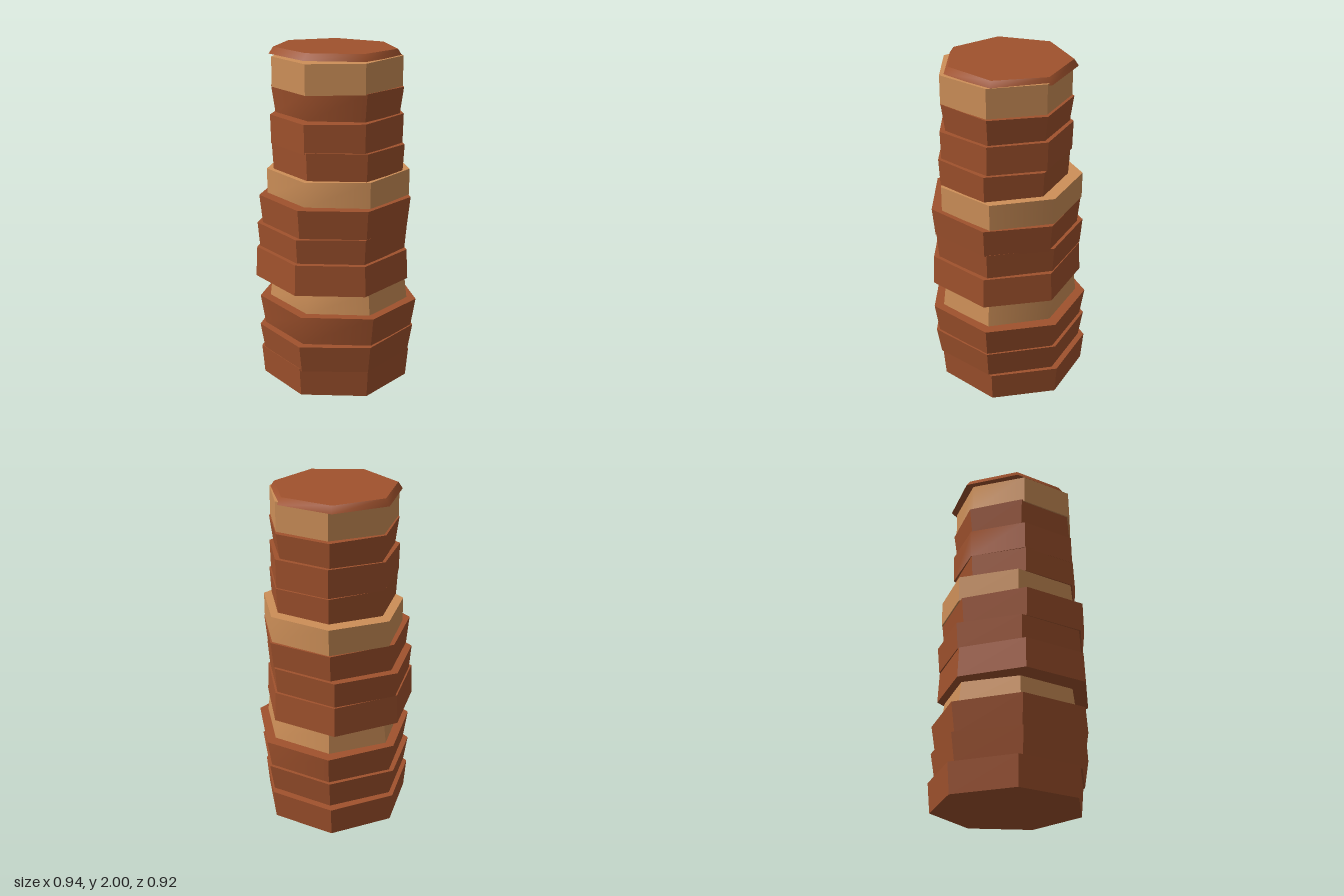
import * as THREE from 'three';
import { toCreasedNormals } from 'three/addons/utils/BufferGeometryUtils.js';

const bark = new THREE.MeshStandardMaterial({ color: 0xa0522d });
bark.name = 'brown bark';
const tan = new THREE.MeshStandardMaterial({ color: 0xcd8f58 });
tan.name = 'tan band';

const SIDES = 7;
const TILT = 0.006;
const { lerp } = THREE.MathUtils;

// From the ground up: top height, left x, right x, back z, front z at half height, flare towards the top
const segments = [
  [0.18, -0.42, 0.45, -0.45, 0.405, 0.017],
  [0.345, -0.44, 0.445, -0.435, 0.43, 0.03],
  [0.52, -0.435, 0.45, -0.435, 0.445, 0.03],
  [0.657, -0.38, 0.4, -0.385, 0.4, -0.02],
  [0.835, -0.47, 0.41, -0.44, 0.42, -0.01],
  [0.988, -0.44, 0.41, -0.44, 0.4, 0.015],
  [1.155, -0.45, 0.41, -0.405, 0.42, 0.02],
  [1.308, -0.385, 0.42, -0.405, 0.4, 0],
  [1.465, -0.385, 0.355, -0.335, 0.39, 0.012],
  [1.632, -0.39, 0.37, -0.343, 0.375, 0.005],
  [1.788, -0.36, 0.353, -0.34, 0.365, 0.03],
  [1.956, -0.38, 0.36, -0.333, 0.37, 0],
  [2 - TILT, -0.347, 0.356, -0.363, 0.342, -0.035],
];

// Seven-sided drum fitted to its extents, flared and slightly tilted
function drum(y0, [y1, left, right, back, front, flare], tilt) {
  const geo = new THREE.CylinderGeometry(1 + flare, 1 - flare, 1, SIDES, 1, false, Math.PI);
  const p = geo.attributes.position;
  const maxX = Math.sin(Math.PI * 4 / SIDES), maxZ = Math.cos(Math.PI / SIDES);
  for (let i = 0; i < p.count; i++) {
    const u = (p.getX(i) / maxX + 1) / 2;
    const v = (p.getZ(i) + 1) / (1 + maxZ);
    const lean = THREE.MathUtils.clamp(u * 2 - 1, -1, 1) * tilt;
    p.setXYZ(i, lerp(left, right, u), (p.getY(i) > 0 ? y1 : y0) + lean, lerp(back, front, v));
  }
  return toCreasedNormals(geo, 0.88);
}

export function createModel() {
  const model = new THREE.Group();
  model.name = 'segmentedTrunk';
  let y = TILT;
  segments.forEach((segment, i) => {
    const isTan = i % 4 === 3; // every fourth segment is a tan band
    const mesh = new THREE.Mesh(drum(y, segment, i % 2 ? TILT : -TILT), isTan ? tan : bark);
    mesh.name = i === segments.length - 1 ? 'topCap' : (isTan ? 'tanBand' : 'barkSegment') + (i + 1);
    model.add(mesh);
    y = segment[0];
  });
  return model;
}
